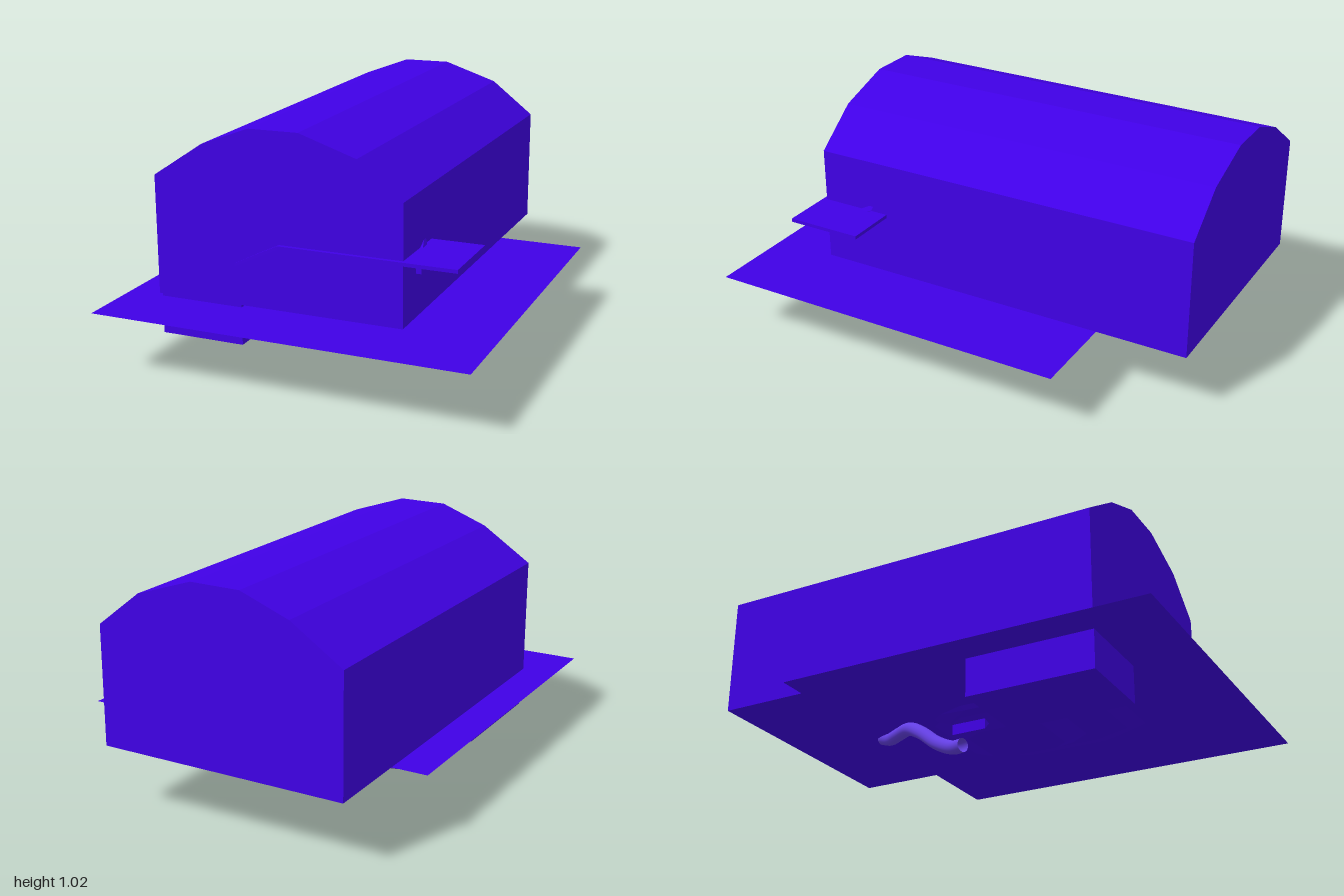
import * as THREE from 'three';
import { ConvexGeometry } from 'three/addons/geometries/ConvexGeometry.js';

export function createModel() {
  const model = new THREE.Group();
  const violet = new THREE.MeshStandardMaterial({ color: 0x4000e6, flatShading: true, side: THREE.DoubleSide });
  violet.name = 'violet';
  const paleViolet = new THREE.MeshStandardMaterial({ color: 0x6540e6, side: THREE.DoubleSide });
  paleViolet.name = 'pale violet';

  const add = (name, geometry, material = violet, parent = model) => {
    const mesh = new THREE.Mesh(geometry, material);
    mesh.name = name;
    parent.add(mesh);
  };
  // Flat panel spanned by four corners
  const panel = (name, corners, parent = model) => {
    const geometry = new THREE.BufferGeometry();
    geometry.setAttribute('position', new THREE.Float32BufferAttribute(corners.flat(), 3));
    geometry.setIndex([0, 1, 2, 0, 2, 3]);
    geometry.computeVertexNormals();
    add(name, geometry, violet, parent);
  };
  const hull = (points) => new ConvexGeometry(points.map((p) => new THREE.Vector3(...p)));
  const ring = (outline, y) => outline.map(([x, z]) => [x, y, z]);

  // Hall with a faceted vaulted roof
  const base = 0.287;
  const section = new THREE.Shape([
    [-0.657, base], [0.427, base], [0.427, 0.795], [0.235, 0.945], [-0.01, 1.025],
    [-0.225, 1.023], [-0.435, 0.943], [-0.657, 0.795],
  ].map((p) => new THREE.Vector2(...p)));
  const hall = new THREE.ExtrudeGeometry(section, { depth: 1.71, bevelEnabled: false });
  hall.translate(0, 0, -1);
  add('hall', hall);

  // Ground sheet
  const y = 0.276;
  panel('ground', [[-0.8, y, 1], [0.8, y, 1], [0.8, y, -0.6], [-0.8, y, -0.6]]);

  // Sunken pit, open at one corner
  const pit = new THREE.Group();
  pit.name = 'pit';
  model.add(pit);
  const [x0, x1, b, z0, z1] = [-0.645, -0.275, 0.113, 0.16, 0.708];
  panel('pitFloor', [[x0, b, z1], [x1, b, z1], [x1, b, z0], [x0, b, z0]], pit);
  const wall = (ax, az, bx, bz) =>
    panel('pitWall', [[ax, b, az], [bx, b, bz], [bx, base, bz], [ax, base, az]], pit);
  wall(x0, z1, x1, z1);
  wall(x1, z1, x1, 0.27);
  wall(-0.465, z0, x0, z0);
  wall(x0, z0, x0, z1);

  // Basin: a shallow shelf and a deeper, steeper middle
  const rim = [[-0.2, -0.3], [0.3, -0.3], [0.425, -0.08], [0.425, 0.3], [0.3, 0.58],
    [-0.05, 0.58], [-0.27, 0.4], [-0.27, -0.1]];
  const shelf = [[-0.15, -0.2], [0.26, -0.2], [0.32, -0.05], [0.32, 0.28], [0.26, 0.45],
    [-0.05, 0.45], [-0.24, 0.33], [-0.24, -0.08]];
  const deepRim = [[-0.12, -0.3], [0.25, -0.3], [0.325, -0.15], [0.325, 0.2], [0.25, 0.31],
    [-0.12, 0.31], [-0.23, 0.2], [-0.23, -0.15]];
  const bottom = [[-0.03, -0.18], [0.2, -0.18], [0.24, -0.1], [0.24, 0.12], [0.2, 0.18],
    [-0.03, 0.18], [-0.075, 0.12], [-0.075, -0.1]];
  add('basinShelf', hull([...ring(rim, base), ...ring(shelf, 0.26)]));
  add('basinBottom', hull([...ring(deepRim, 0.278), ...ring(bottom, 0.225)]));

  // Small step beside the basin
  add('step', hull([-0.03, -0.19].flatMap((z) => [[-0.147, 0.203, z], [-0.147, 0.25, z], [-0.1, 0.25, z]])));

  // Curved slide pipe
  const path = new THREE.CatmullRomCurve3([
    [-0.4, 0.03, 0.01], [-0.385, 0.034, -0.04], [-0.345, 0.085, -0.14], [-0.295, 0.17, -0.25],
    [-0.235, 0.23, -0.35], [-0.165, 0.25, -0.45], [-0.12, 0.258, -0.52], [-0.09, 0.282, -0.58],
  ].map((p) => new THREE.Vector3(...p)));
  add('pipe', new THREE.TubeGeometry(path, 48, 0.029, 16), paleViolet);

  // Ledge slab with a ramp sloping down into the front wall
  const slab = new THREE.BoxGeometry(0.752, 0.015, 0.33);
  slab.translate(0.276, 0.5565, 0.5625);
  add('ledge', slab);
  add('ramp', hull([[-0.1, 0.564, 0.549, 0.727], [-0.3, 0.464, 0.45, 0.712]]
    .flatMap(([x, top, low, z]) => [[x, top, z], [x, low, z], [x, top, 0.65], [x, low, 0.65]])));

  // Bracket under the ledge on the side wall
  add('bracket', hull([
    [0.42, 0.47, 0.57], [0.45, 0.47, 0.57], [0.42, 0.54, 0.57], [0.45, 0.54, 0.57],
    [0.42, 0.6, 0.46], [0.435, 0.57, 0.47],
  ]));

  return model;
}
